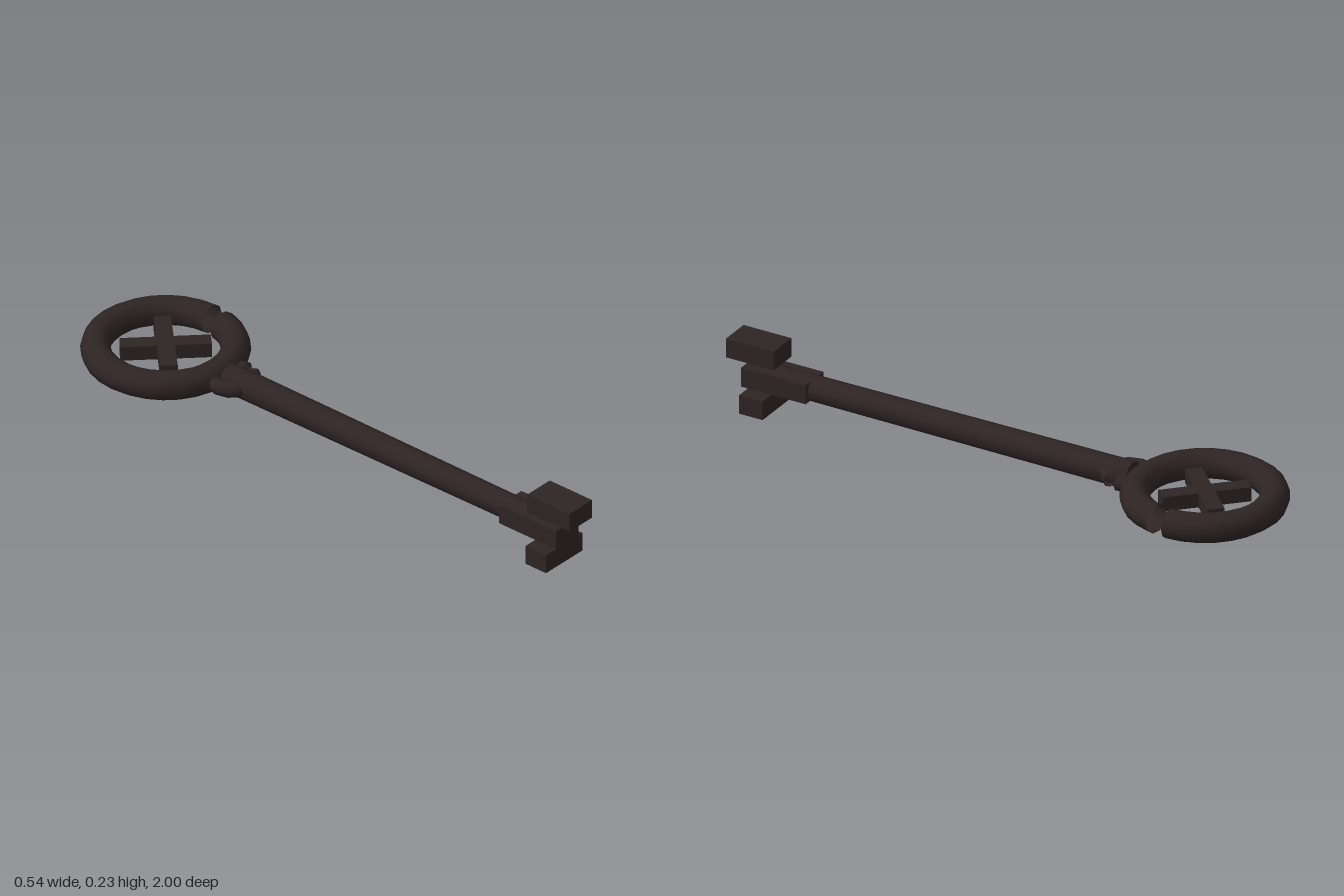
import * as THREE from 'three';

export function createModel() {
  const key = new THREE.Group();
  key.name = 'key';
  const iron = new THREE.MeshStandardMaterial({ color: 0x2e2424, side: THREE.DoubleSide });
  iron.name = 'darkIron';
  const midY = 0.112;

  const add = (name, geometry, x, y, z) => {
    const mesh = new THREE.Mesh(geometry, iron);
    mesh.name = name;
    mesh.position.set(x, y, z);
    key.add(mesh);
    return mesh;
  };

  // Flat-lying ring with one segment left open beside +x
  const openRing = (name, radius, tube, sides, segments, z) => {
    const arc = (Math.PI * 2 * (segments - 1)) / segments;
    const ring = add(name, new THREE.TorusGeometry(radius, tube, sides, segments - 1, arc), 0, midY, z);
    ring.rotation.x = -Math.PI / 2;
  };
  openRing('bowRing', 0.222, 0.049, 10, 28, -0.73);
  openRing('collarRing', 0.067, 0.026, 8, 12, -0.45);

  // Crossed bars inside the bow
  for (const side of [-1, 1]) {
    const bar = add('bowCrossBar', new THREE.BoxGeometry(0.29, 0.05, 0.055), 0, midY, -0.73);
    bar.rotation.y = (side * Math.PI) / 4;
  }

  // Shaft, slightly slimmer toward the bit
  const shaft = add('shaft', new THREE.CylinderGeometry(0.042, 0.048, 1.385, 10), 0, midY, 0.2275);
  shaft.rotation.x = Math.PI / 2;

  // Bit: core block, upper tooth and wide lower tooth
  add('bitCore', new THREE.BoxGeometry(0.11, 0.067, 0.238), 0, midY, 0.825);
  add('upperTooth', new THREE.BoxGeometry(0.11, 0.066, 0.176), 0, 0.201, 0.912);
  add('lowerTooth', new THREE.BoxGeometry(0.176, 0.066, 0.086), 0, 0.033, 0.888);

  return key;
}
